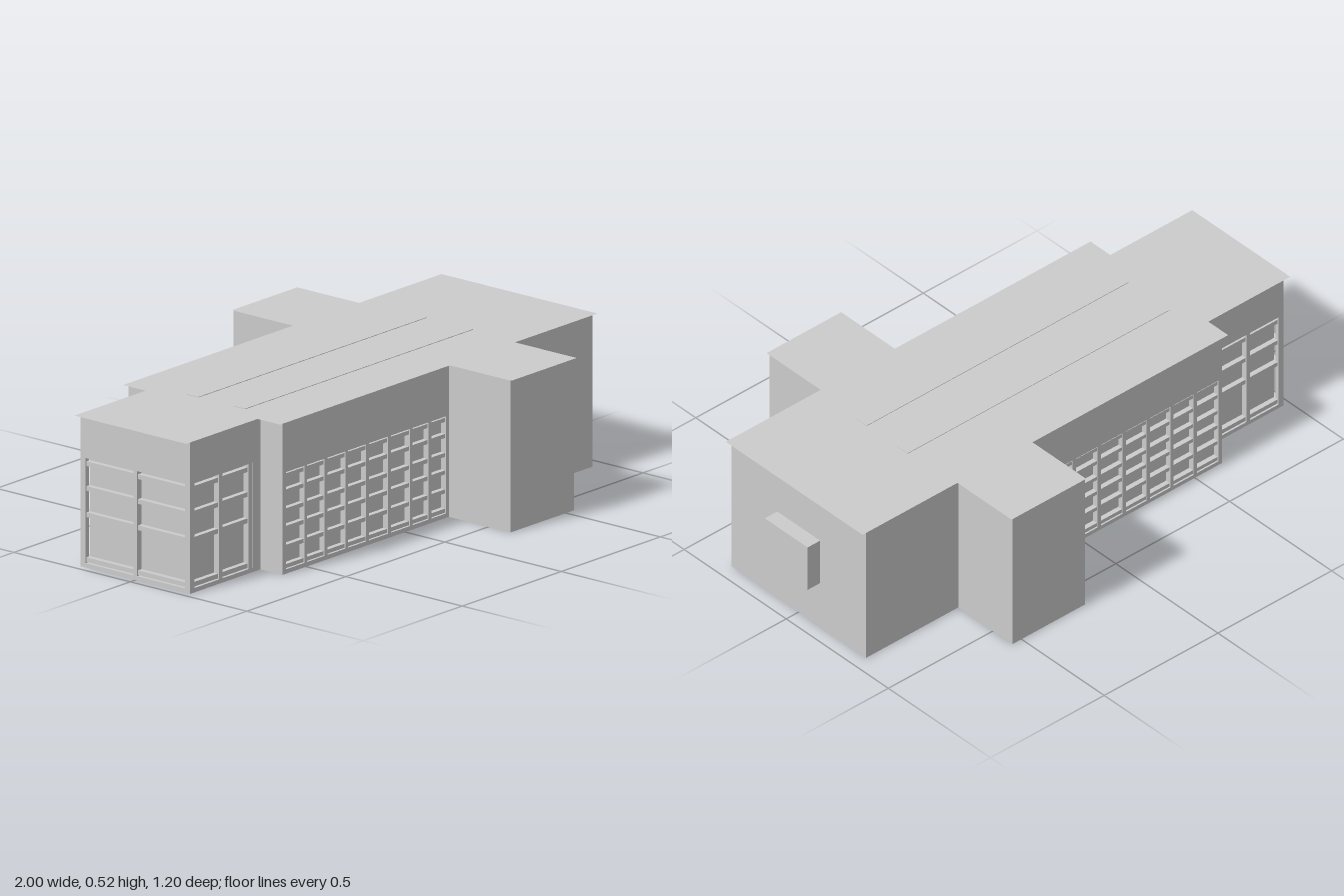
import * as THREE from 'three';

export function createModel() {
  const model = new THREE.Group();
  const mat = new THREE.MeshStandardMaterial({ color: 0xcccccc, flatShading: true });
  const roofMat = new THREE.MeshStandardMaterial({ color: 0xcccccc, side: THREE.DoubleSide });

  const add = (name, geo, parent = model, material = mat) => {
    const mesh = new THREE.Mesh(geo, material);
    mesh.name = name;
    parent.add(mesh);
    return mesh;
  };
  // box given by its min and max on each axis
  const box = (name, x0, x1, y0, y1, z0, z1, parent) => {
    const mesh = add(name, new THREE.BoxGeometry(x1 - x0, y1 - y0, z1 - z0), parent);
    mesh.position.set((x0 + x1) / 2, (y0 + y1) / 2, (z0 + z1) / 2);
    return mesh;
  };
  // plan outline mirrored front to back, from half of its corners
  const plan = (half) => {
    const back = half.map(([x, z]) => [x, -z]).reverse();
    return new THREE.Shape([...half, ...back].map(([x, z]) => new THREE.Vector2(x, z)));
  };
  const slab = (name, half, y0, y1) => {
    const geo = new THREE.ExtrudeGeometry(plan(half), { depth: y1 - y0, bevelEnabled: false });
    geo.rotateX(-Math.PI / 2).translate(0, y0, 0);
    return add(name, geo);
  };

  const TOP = 0.52, HEAD = 0.36, SILL = 0.015, INSET = 0.022;
  const outline = [[-0.975, 0.235], [-0.62, 0.235], [-0.62, 0.33], [0.22, 0.33], [0.22, 0.595],
    [0.54, 0.595], [0.54, 0.33], [0.945, 0.33]];
  slab('floorSlab', outline, 0, SILL);
  slab('upperWalls', outline, 0.375, TOP);

  // solid lower walls, set back where the glazing sits
  const recessed = [[-0.975 + INSET, 0.235 - INSET], [-0.66, 0.235 - INSET], [-0.66, 0.235],
    [-0.62, 0.235], [-0.62, 0.33], [-0.608, 0.33], [-0.608, 0.33 - INSET], [0.22, 0.33 - INSET],
    [0.22, 0.595], [0.54, 0.595], [0.54, 0.33], [0.945, 0.33]];
  slab('lowerWallsAndPanes', recessed, SILL, 0.375);

  // thin roof sheet, overhanging at both ends
  const roof = new THREE.ShapeGeometry(plan([[-1, 0.24], [-0.64, 0.24], [-0.64, 0.337],
    [0.22, 0.337], [0.22, 0.6], [0.548, 0.6], [0.548, 0.335], [0.965, 0.335]]));
  roof.rotateX(-Math.PI / 2).translate(0, TOP + 0.001, 0);
  add('roof', roof, model, roofMat);

  // two long strips barely above the roof
  for (const z of [0.115, -0.085]) {
    box('roofStrip', -0.585, 0.565, TOP - 0.005, TOP + 0.003, z - 0.025, z + 0.025);
  }

  // box on the end wall
  box('endWallBox', 0.94, 1, 0.18, 0.355, -0.105, 0.105);

  // window bars in the local xy plane; z = 0 is the outer face
  const windowBars = (name, x0, x1, columns, rows, top, bar) => {
    const group = new THREE.Group();
    group.name = name;
    for (const x of columns) {
      box('mullion', x - bar / 2, x + bar / 2, SILL, top, -INSET, 0, group);
    }
    for (const y of rows) {
      box('transom', x0, x1, y - bar / 2, y + bar / 2, -INSET, -0.004, group);
    }
    model.add(group);
    return group;
  };

  for (const side of [1, -1]) {
    // long hall windows; the back is turned around, so its columns are mirrored
    const hall = [-0.61, -0.502, -0.4, -0.295, -0.19, -0.08, 0.03, 0.125, 0.213].map((x) => x * side);
    const hx = [-0.615 * side, 0.22 * side].sort((a, b) => a - b);
    const hallBars = windowBars('hallWindow', hx[0], hx[1], hall,
      [0.024, 0.09, 0.155, 0.215, 0.28, 0.335], 0.375, 0.014);
    hallBars.position.z = 0.33 * side;
    if (side < 0) hallBars.rotation.y = Math.PI;
    const lintel = box('hallLintel', -0.615, 0.22, HEAD - 0.012, 0.376, -INSET, 0);
    lintel.position.z = side * (0.33 - INSET / 2);

    // narrower windows beside the end
    const ex = [-0.975 * side, -0.66 * side].sort((a, b) => a - b);
    const endBars = windowBars('cornerWindow', ex[0], ex[1],
      [-0.967, -0.82, -0.671].map((x) => x * side), [0.026, 0.18, 0.27, 0.355], 0.376, 0.016);
    endBars.position.z = 0.235 * side;
    if (side < 0) endBars.rotation.y = Math.PI;
  }

  // glazed end face
  const endFace = windowBars('endWindow', -0.235, 0.235, [-0.227, 0, 0.227],
    [0.026, 0.18, 0.27, 0.355], 0.376, 0.016);
  endFace.position.x = -0.975;
  endFace.rotation.y = -Math.PI / 2;

  return model;
}
